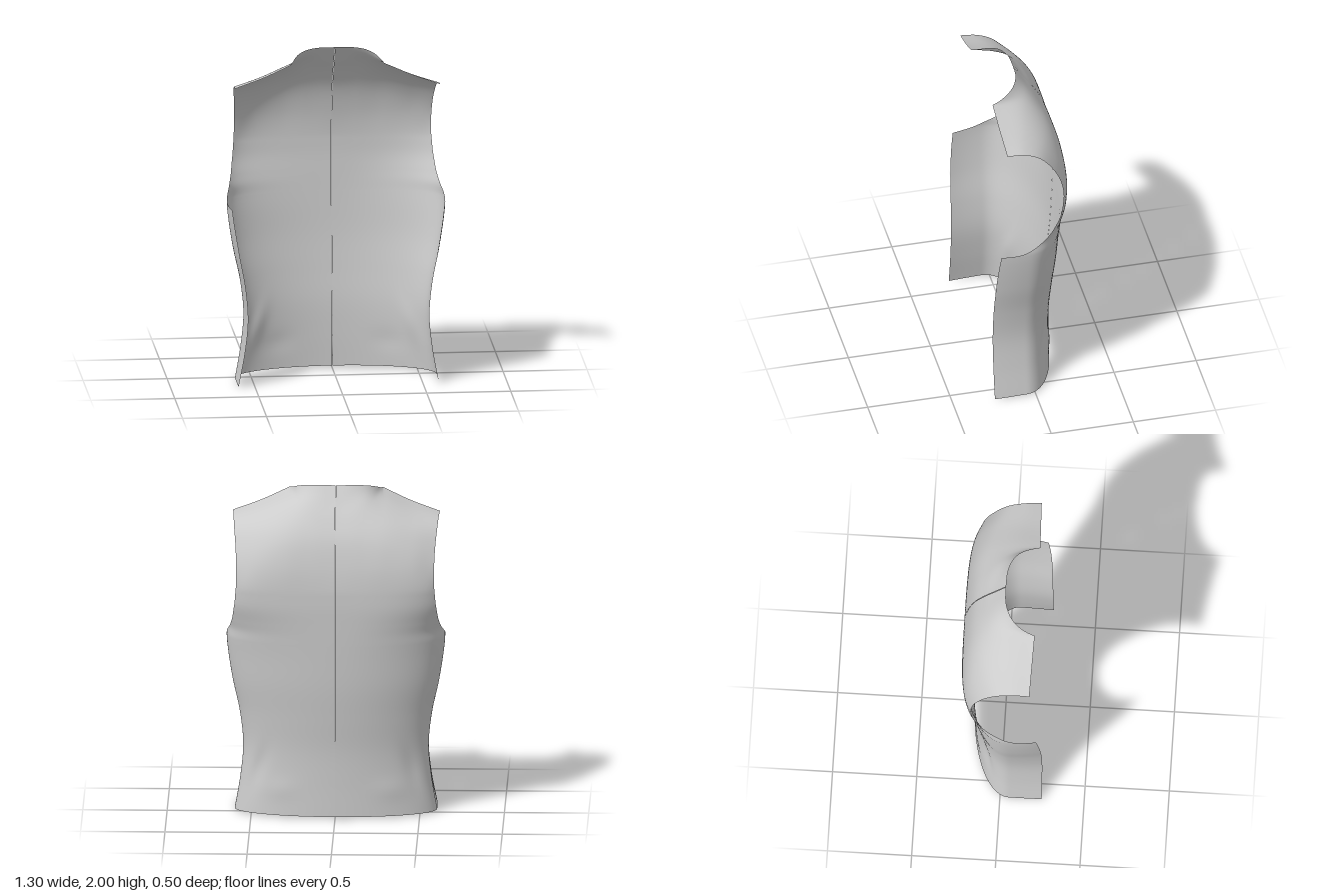
import * as THREE from 'three';

const COLS = 40;          // across each half, centre back to edge
const CENTRE_Z = 0.05;    // depth of the widest line of the body
const SEAM = 0.001;       // half gap at the centre back seam

const table = (ys, values) => {
  const f = new THREE.CubicInterpolant(ys, values, 1);
  return y => f.evaluate(y)[0];
};

// Body measurements by height
const backZ = table([0, 0.2, 0.4, 0.6, 0.8, 1, 1.2, 1.3, 1.4], [-0.184, -0.183, -0.188, -0.207, -0.226, -0.237, -0.245, -0.248, -0.247]);
const width = table([0, 0.2, 0.4, 0.6, 0.8, 1, 1.08, 1.14, 1.2, 1.3, 1.4], [0.6, 0.567, 0.55, 0.57, 0.612, 0.642, 0.648, 0.643, 0.653, 0.662, 0.655]);
const frontWidth = table([0, 0.2, 0.4, 0.6, 0.8, 1.07, 1.4], [0.597, 0.56, 0.54, 0.555, 0.59, 0.625, 0.63]);
const frontZ = table([0, 0.6, 0.8, 0.95, 1.07], [0.248, 0.246, 0.24, 0.23, 0.216]);
// Round section at the waist, squarer across the shoulder blades
const squareness = table([0, 0.4, 0.8, 1.07, 1.2, 1.3, 1.4], [2, 2, 2.1, 2.3, 2.7, 3.3, 3.8]);

// Shallow cloth folds above the hem
const bump = (x, y, cx, cy, sx, sy) => Math.exp(-(((x - cx) / sx) ** 2) - ((y - cy) / sy) ** 2);
const folds = (x, y) => 0.012 * bump(x, y, 0.46 - 0.25 * (y - 0.25), 0.28, 0.04, 0.12)
  - 0.006 * bump(x, y, 0.33, 0.16, 0.1, 0.06);

// Horizontal section: rounded back corner, then a straight run to the front
function section(y, zEnd, u) {
  const W = width(y), b = CENTRE_Z - backZ(y), n = squareness(y);
  let end = Math.PI / 2 + (zEnd - CENTRE_Z) / b;
  if (zEnd < CENTRE_Z) {
    const c = (CENTRE_Z - zEnd) / b;
    end = Math.atan2(Math.pow(1 - c ** n, 1 / n), c);
  }
  const a = u * end;
  let x, z;
  if (a <= Math.PI / 2) {
    const s = Math.sin(a), c = Math.max(0, Math.cos(a));
    const r = Math.pow(s ** n + c ** n, -1 / n);
    x = W * s * r;
    z = CENTRE_Z - b * c * r + folds(x, y);
  } else {
    const d = (a - Math.PI / 2) * b;
    x = W + (frontWidth(y) - W) * (d / 0.19) ** 2;
    z = CENTRE_Z + d;
  }
  // The hem rises slightly toward the back
  const lift = 0.014 * Math.max(0, 1 - y / 1.07) * (0.25 - z) / 0.43;
  return new THREE.Vector3(x, y + lift, z);
}

const curve = pts => new THREE.CatmullRomCurve3(pts.map(p => new THREE.Vector3(...p)));

// Armhole edge from underarm to its deepest point, as (0, y, z)
const armhole = curve([[0, 1.07, 0.216], [0, 1.073, 0.15], [0, 1.082, 0.09], [0, 1.105, 0.03],
  [0, 1.15, -0.045], [0, 1.2, -0.097], [0, 1.3, -0.153], [0, 1.4, -0.172]]);

// Yoke rows, from shoulder blades up and over the shoulder
const yoke = [
  [[0, 1.56, -0.226], [0.145, 1.56, -0.229], [0.3, 1.56, -0.227], [0.46, 1.55, -0.205], [0.587, 1.53, -0.16]],
  [[0, 1.71, -0.185], [0.145, 1.71, -0.187], [0.3, 1.7, -0.183], [0.46, 1.67, -0.155], [0.592, 1.65, -0.105]],
  [[0, 1.82, -0.125], [0.15, 1.82, -0.125], [0.3, 1.8, -0.115], [0.46, 1.765, -0.08], [0.602, 1.745, -0.025]],
  [[0, 1.91, -0.062], [0.17, 1.91, -0.05], [0.29, 1.89, 0], [0.455, 1.83, 0.03], [0.608, 1.79, 0.07]],
].map(curve);

// Neckline, then the slightly hollow shoulder edge
const neckline = curve([[0, 2, 0], [0.1, 2, 0.006], [0.18, 1.992, 0.035], [0.23, 1.975, 0.08], [0.262, 1.953, 0.14], [0.277, 1.942, 0.187]]);
const shoulderEdge = curve([[0.277, 1.942, 0.187], [0.44, 1.866, 0.181], [0.613, 1.802, 0.175]]);
const topEdge = u => (u <= 0.5 ? neckline.getPoint(u * 2) : shoulderEdge.getPoint(u * 2 - 1));

function panelRows() {
  const us = Array.from({ length: COLS + 1 }, (_, j) => j / COLS);
  const rows = [];
  for (let i = 0; i < 36; i++) {
    const y = 1.07 * i / 36;
    rows.push(us.map(u => section(y, frontZ(y), u)));
  }
  for (let i = 0; i <= 42; i++) {
    const p = armhole.getPoint(i / 42);
    rows.push(us.map(u => section(p.y, p.z, u)));
  }
  const columns = us.map(u => new THREE.CatmullRomCurve3([
    section(1.25, -0.13, u), section(1.4, -0.172, u), ...yoke.map(c => c.getPoint(u)), topEdge(u)]));
  for (let i = 1; i <= 40; i++) rows.push(columns.map(c => c.getPoint((1 + 5 * i / 40) / 6)));
  return rows;
}

function panelGeometry(rows, side) {
  const positions = [], index = [], n = COLS + 1;
  for (const row of rows) for (const p of row) positions.push(side * Math.max(SEAM, p.x), p.y, p.z);
  for (let i = 0; i < rows.length - 1; i++) {
    for (let j = 0; j < COLS; j++) {
      const a = i * n + j, b = a + 1, c = a + n, d = c + 1;
      if (side > 0) index.push(a, c, b, b, c, d);
      else index.push(a, b, c, b, d, c);
    }
  }
  const g = new THREE.BufferGeometry();
  g.setAttribute('position', new THREE.Float32BufferAttribute(positions, 3));
  g.setIndex(index);
  g.computeVertexNormals();
  return g;
}

export function createModel() {
  const group = new THREE.Group();
  group.name = 'vestBack';
  const cloth = new THREE.MeshStandardMaterial({ color: 0xcccccc, side: THREE.DoubleSide });
  const rows = panelRows();
  // Two mirrored panels meet at the centre back seam
  for (const [name, side] of [['leftBackPanel', 1], ['rightBackPanel', -1]]) {
    const mesh = new THREE.Mesh(panelGeometry(rows, side), cloth);
    mesh.name = name;
    group.add(mesh);
  }
  return group;
}
